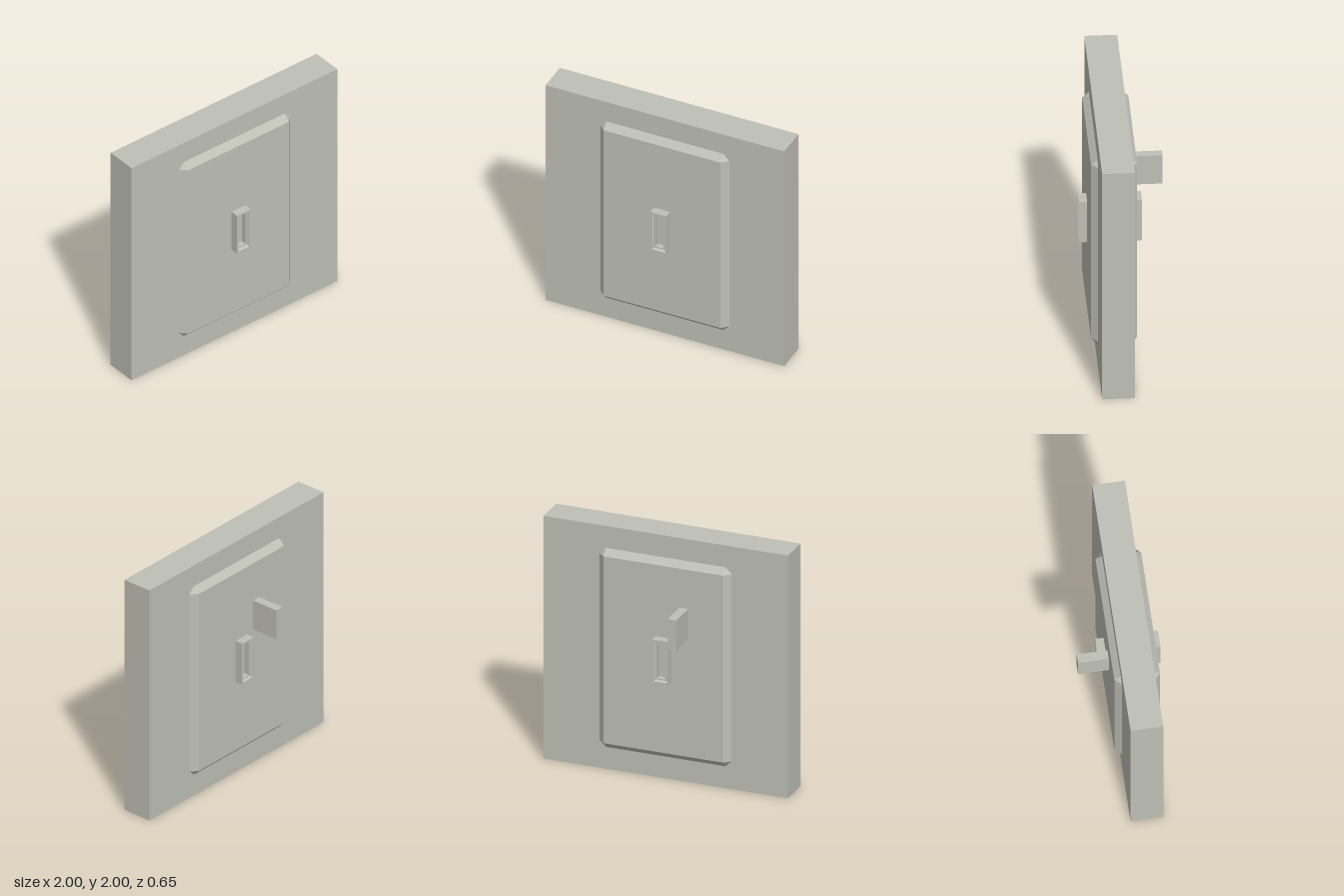
import * as THREE from 'three';
import { ConvexGeometry } from 'three/addons/geometries/ConvexGeometry.js';

// Rectangular rings [halfWidth, halfHeight, z] joined in order into a frame
function frameGeometry(rings) {
  const corners = [[-1, -1], [1, -1], [1, 1], [-1, 1]];
  const at = (r, k) => [corners[k % 4][0] * r[0], corners[k % 4][1] * r[1], r[2]];
  const pos = [];
  for (let i = 0; i < rings.length - 1; i++) {
    for (let k = 0; k < 4; k++) {
      const a = at(rings[i], k), b = at(rings[i], k + 1);
      const c = at(rings[i + 1], k + 1), d = at(rings[i + 1], k);
      pos.push(...a, ...b, ...c, ...a, ...c, ...d);
    }
  }
  const g = new THREE.BufferGeometry();
  g.setAttribute('position', new THREE.Float32BufferAttribute(pos, 3));
  g.computeVertexNormals();
  return g;
}

// Raised panel: rectangular face, sloped sides, octagonal foot
function panelGeometry(w, h, bevel) {
  const pts = [];
  for (const sx of [-1, 1]) for (const sy of [-1, 1]) {
    pts.push(
      new THREE.Vector3(sx * w, sy * h, bevel),
      new THREE.Vector3(sx * (w + bevel), sy * h, 0),
      new THREE.Vector3(sx * w, sy * (h + bevel), 0));
  }
  return new ConvexGeometry(pts);
}

export function createModel() {
  const model = new THREE.Group();
  const stone = new THREE.MeshStandardMaterial({ color: 0xbebfb5 });
  stone.name = 'stone';

  const add = (parent, name, geometry, x, y, z) => {
    const mesh = new THREE.Mesh(geometry, stone);
    mesh.name = name;
    mesh.position.set(x, y, z);
    parent.add(mesh);
  };

  // Wall slab
  add(model, 'slab', new THREE.BoxGeometry(2, 2, 0.25), 0, 1, 0.085);

  // Panel and slot frame on both faces
  const panel = panelGeometry(0.49, 0.77, 0.05);
  const slot = frameGeometry([
    [0.067, 0.178, 0], [0.067, 0.178, 0.065], [0.054, 0.165, 0.065],
    [0.045, 0.156, 0.045], [0.034, 0.145, 0.045], [0.034, 0.145, 0],
  ]);
  for (const [name, z, turn] of [['front', 0.21, 0], ['back', -0.04, Math.PI]]) {
    const side = new THREE.Group();
    side.name = name + 'Side';
    side.position.set(0, 1, z);
    side.rotation.y = turn;
    add(side, name + 'Panel', panel, 0, 0, 0);
    add(side, name + 'SlotFrame', slot, 0, 0.003, 0.05);
    model.add(side);
  }

  // Upright tab sticking out of the back
  add(model, 'backTab', new THREE.BoxGeometry(0.07, 0.25, 0.245), -0.168, 1.324, -0.2025);

  return model;
}
